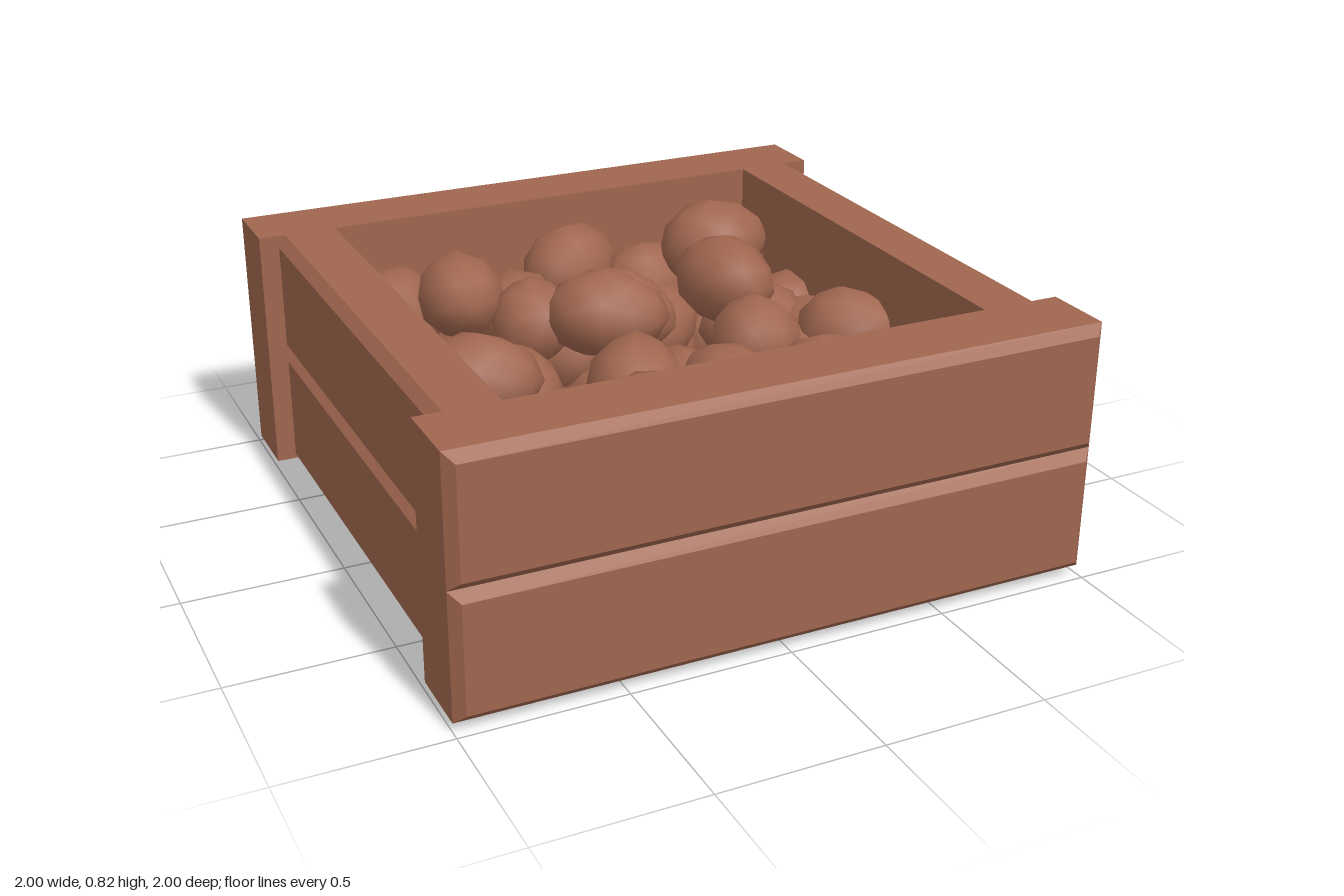
import * as THREE from 'three';
import { mergeVertices } from 'three/addons/utils/BufferGeometryUtils.js';

const brown = new THREE.MeshStandardMaterial({ name: 'earthyBrown', color: 0xa0664f });

// Board whose outer (+z) face is chamfered on all four edges
function plankGeometry(length, height, depth, bevel = 0.03) {
  const g = new THREE.BoxGeometry(length, height, depth, 1, 1, 2);
  const p = g.attributes.position;
  for (let i = 0; i < p.count; i++) {
    const z = p.getZ(i);
    if (z > depth / 4) {
      p.setX(i, p.getX(i) - Math.sign(p.getX(i)) * bevel);
      p.setY(i, p.getY(i) - Math.sign(p.getY(i)) * bevel);
    } else if (z > -depth / 4) {
      p.setZ(i, depth / 2 - bevel);
    }
  }
  const flat = g.toNonIndexed();
  flat.computeVertexNormals();
  return flat;
}

// Lumpy, slightly egg-shaped unit potato, long along x
function potatoGeometry() {
  const raw = new THREE.IcosahedronGeometry(1, 1);
  raw.deleteAttribute('uv');
  raw.deleteAttribute('normal');
  const g = mergeVertices(raw, 1e-3);
  const p = g.attributes.position;
  for (let i = 0; i < p.count; i++) {
    const x = p.getX(i), y = p.getY(i), z = p.getZ(i);
    const girth = (1 - 0.12 * x) * (1 + 0.04 * Math.sin(i * 2.4));
    p.setXYZ(i, x, y * girth, z * girth);
  }
  g.computeVertexNormals();
  return g;
}

// Visible potatoes on top: x, y, z, length, width, heading in degrees
const TOP = [
  [-0.59, 0.55, -0.61, 0.37, 0.30, 35],
  [-0.45, 0.66, -0.42, 0.40, 0.27, 85],
  [0.03, 0.61, -0.63, 0.38, 0.29, 35],
  [0.50, 0.67, -0.48, 0.38, 0.30, -5],
  [0.09, 0.55, -0.32, 0.37, 0.27, -50],
  [-0.26, 0.60, -0.26, 0.33, 0.27, 70],
  [0.37, 0.67, -0.14, 0.41, 0.29, -85],
  [-0.08, 0.65, -0.08, 0.40, 0.28, -32],
  [-0.56, 0.57, 0.06, 0.39, 0.29, -28],
  [-0.14, 0.56, 0.26, 0.40, 0.30, 65],
  [0.35, 0.56, 0.09, 0.34, 0.28, 80],
  [0.68, 0.54, 0.12, 0.35, 0.28, -50],
  [0.19, 0.50, 0.30, 0.40, 0.25, -60],
  [0.47, 0.50, 0.33, 0.36, 0.27, 15],
  [-0.57, 0.50, 0.42, 0.37, 0.28, -12],
  [-0.22, 0.59, 0.60, 0.40, 0.30, 8],
  [0.32, 0.55, 0.62, 0.38, 0.28, 32],
  [0.66, 0.50, 0.53, 0.39, 0.30, -60],
];

// Potatoes half hidden between them: x, y, z
const MIDDLE = [
  [-0.20, 0.50, -0.56], [0.32, 0.50, -0.64], [0.60, 0.52, -0.65],
  [-0.40, 0.45, -0.05], [-0.30, 0.45, 0.41], [0.05, 0.45, 0.47],
  [0.10, 0.42, 0.10], [-0.70, 0.42, -0.13], [-0.65, 0.42, -0.36],
  [0.70, 0.42, -0.13], [0.53, 0.45, -0.25], [-0.70, 0.42, 0.22],
  [-0.45, 0.41, 0.24], [-0.71, 0.44, 0.61], [-0.48, 0.40, 0.67],
  [0.00, 0.40, 0.72], [0.13, 0.42, 0.58], [0.60, 0.34, 0.70],
  [0.25, 0.42, -0.45], [0.72, 0.42, -0.37], [-0.08, 0.40, -0.42],
  [0.57, 0.42, 0.04],
];

export function createModel() {
  const group = new THREE.Group();
  group.name = 'potatoCrate';
  const add = (name, geometry, x, y, z, turn = 0) => {
    const mesh = new THREE.Mesh(geometry, brown);
    mesh.name = name;
    mesh.position.set(x, y, z);
    mesh.rotation.y = turn;
    group.add(mesh);
    return mesh;
  };

  // Two courses of boards on each of the four sides
  const height = 0.396;
  const longBoard = plankGeometry(2, height, 0.25);
  const shortBoard = plankGeometry(1.5, height, 0.195);
  for (const y of [0.03 + height / 2, 0.03 + height * 1.5]) {
    add('frontBoard', longBoard, 0, y, 0.875);
    add('backBoard', longBoard, 0, y, -0.875, Math.PI);
    add('leftBoard', shortBoard, 0.8475, y, 0, Math.PI / 2);
    add('rightBoard', shortBoard, -0.8475, y, 0, -Math.PI / 2);
  }
  add('floor', new THREE.BoxGeometry(1.5, 0.03, 1.5), 0, 0.045, 0);

  // Potatoes
  let seed = 17;
  const random = () => (seed = (seed * 16807) % 2147483647) / 2147483647;
  const potato = potatoGeometry();
  const addPotato = (x, y, z, length, width, turn, tilt = 0) => {
    const mesh = add('potato', potato, x, y, z, turn);
    mesh.rotation.order = 'YXZ';
    mesh.rotation.z = tilt;
    mesh.scale.set(length / 2, width / 2, width / 2);
  };
  for (const [x, y, z, length, width, degrees] of TOP) {
    addPotato(x, y, z, length, width, THREE.MathUtils.degToRad(degrees), (random() - 0.5) * 0.4);
  }
  for (const [x, y, z] of MIDDLE) {
    addPotato(x, y, z, 0.37, 0.29, random() * Math.PI, (random() - 0.5) * 0.6);
  }
  // Buried layer, filling the crate
  for (let i = -2; i <= 2; i++) {
    for (let k = -2; k <= 2; k++) {
      addPotato(i * 0.29, 0.24 + random() * 0.06, k * 0.29, 0.37, 0.29, random() * Math.PI);
    }
  }
  // One potato poking through the floor
  addPotato(-0.25, 0.145, 0.73, 0.36, 0.28, 0.6);

  return group;
}
